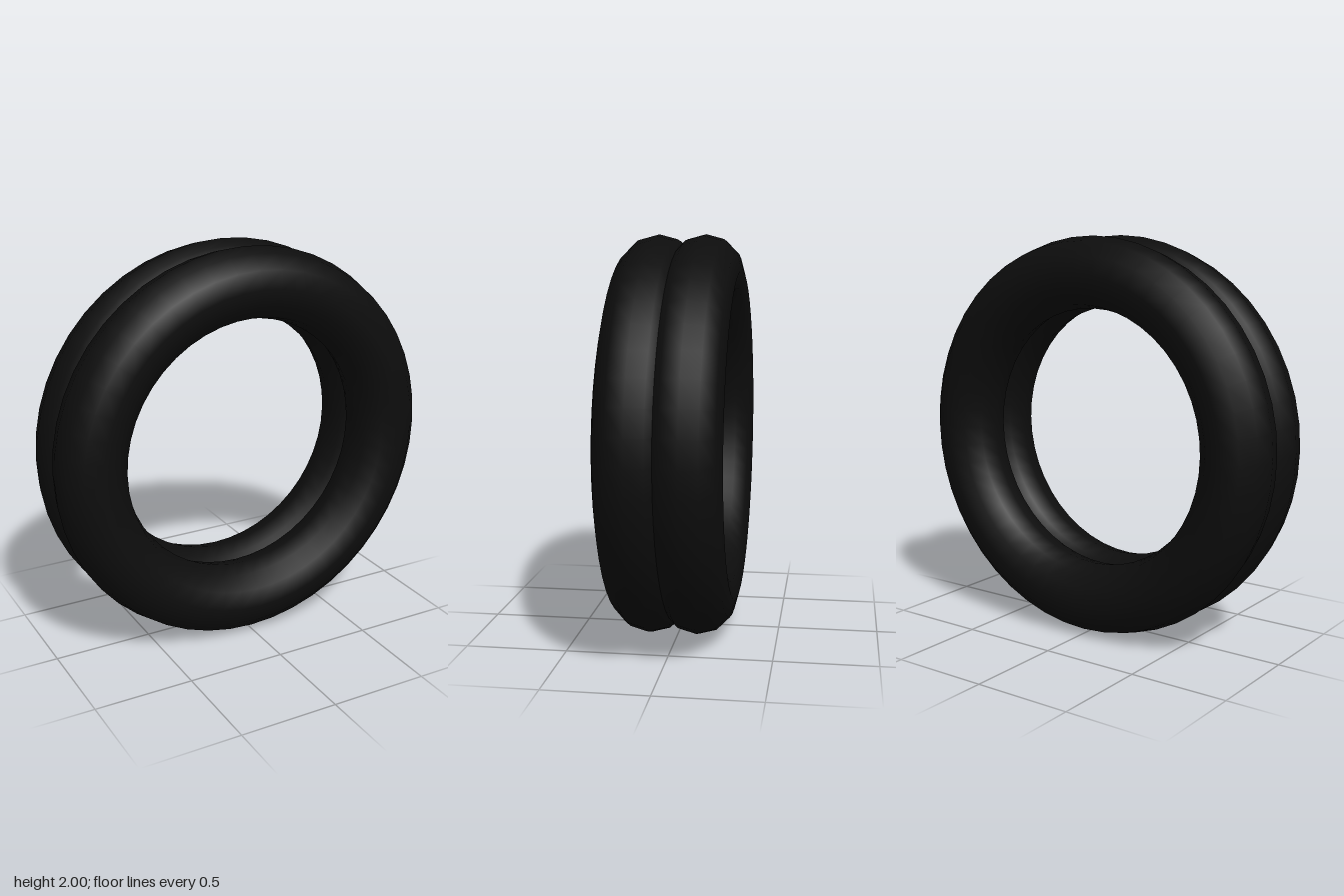
import * as THREE from 'three';

const TUBE = 0.176;          // radius of each ring's cross-section
const MAJOR = 1 - TUBE;      // centre line radius
const OFFSET = 0.117;        // distance of each ring from the middle plane

export function createModel() {
  const model = new THREE.Group();
  model.name = 'doubleRing';

  const material = new THREE.MeshStandardMaterial({ color: 0x0d0d0d });
  const geometry = new THREE.TorusGeometry(MAJOR, TUBE, 12, 48);

  // Two identical rings side by side, slightly overlapping
  for (const [name, side] of [['frontRing', 1], ['backRing', -1]]) {
    const ring = new THREE.Mesh(geometry, material);
    ring.name = name;
    ring.position.set(0, 1, side * OFFSET);
    model.add(ring);
  }
  return model;
}
